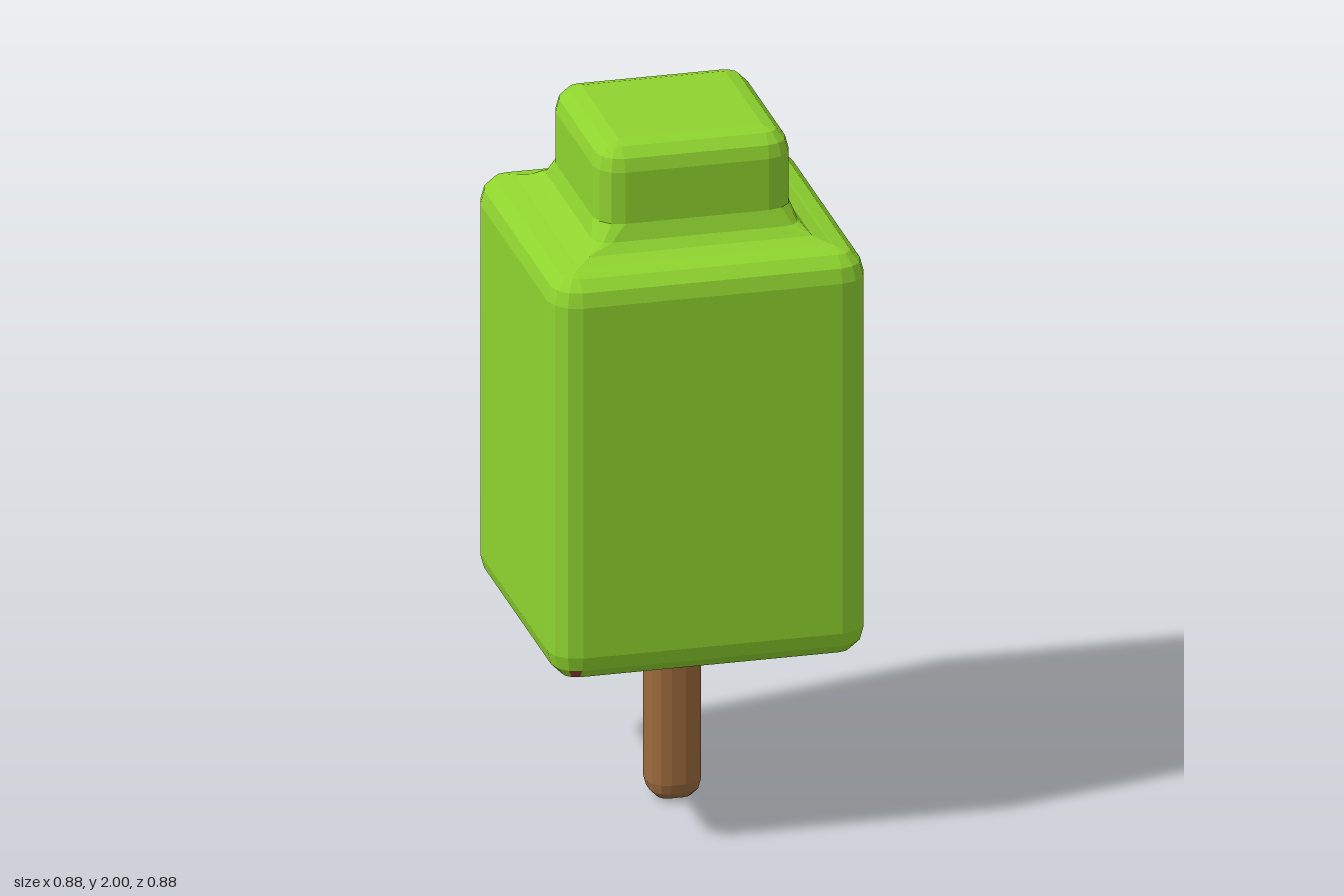
import * as THREE from 'three';

const GREEN = 0x8fd42f, BROWN = 0x9c6b3e, RED = 0x9c4040;
const STEPS = 3; // facets per rounded corner

// Rounded-square outline: corner centres at +-c, corner radius r
function ring([y, c, r]) {
  const pts = [];
  for (let j = 0; j < 4; j++) {
    const mid = Math.PI / 4 + j * Math.PI / 2;
    for (let k = 0; k <= STEPS; k++) {
      const a = (j + k / STEPS) * Math.PI / 2;
      pts.push(new THREE.Vector3(
        Math.sign(Math.cos(mid)) * c + r * Math.cos(a), y,
        -Math.sign(Math.sin(mid)) * c - r * Math.sin(a)));
    }
  }
  return pts;
}

// Loft through the rings; keep(band, segment) selects facets.
// Band -1 is the bottom cap, the last band is the top cap.
function loft(name, color, profile, keep = () => true) {
  const rings = profile.map(ring), n = rings[0].length, pos = [];
  const tri = (a, b, c) => {
    const area = b.clone().sub(a).cross(c.clone().sub(a)).length();
    if (area > 1e-9) for (const p of [a, b, c]) pos.push(p.x, p.y, p.z);
  };
  const last = rings.length - 1;
  const low = new THREE.Vector3(0, profile[0][0], 0);
  const high = new THREE.Vector3(0, profile[last][0], 0);
  for (let s = 0; s < n; s++) {
    const t = (s + 1) % n;
    if (keep(-1, s)) tri(low, rings[0][t], rings[0][s]);
    if (keep(last, s)) tri(high, rings[last][s], rings[last][t]);
    for (let b = 0; b < last; b++) {
      if (!keep(b, s)) continue;
      const lo = rings[b], hi = rings[b + 1];
      tri(lo[s], lo[t], hi[t]);
      tri(lo[s], hi[t], hi[s]);
    }
  }
  const geo = new THREE.BufferGeometry();
  geo.setAttribute('position', new THREE.Float32BufferAttribute(pos, 3));
  geo.computeVertexNormals();
  const mesh = new THREE.Mesh(geo, new THREE.MeshStandardMaterial({ color, flatShading: true }));
  mesh.name = name;
  return mesh;
}

// Quarter-round profile at one end of a rounded block; dir -1 = bottom, 1 = top
function roundEnd(yEnd, c, r, dir) {
  const out = [];
  for (let k = 0; k <= STEPS; k++) {
    const a = k / STEPS * Math.PI / 2;
    out.push([yEnd - dir * r * (1 - Math.cos(a)), c, r * Math.sin(a)]);
  }
  return dir < 0 ? out : out.reverse();
}

export function createModel() {
  const group = new THREE.Group();
  group.name = 'icePop';

  // Rounded block, curved shoulder and narrower neck in one outline
  const profile = [
    ...roundEnd(0.52, 0.36, 0.08, -1),
    ...roundEnd(1.695, 0.36, 0.08, 1),
    [1.697, 0.35, 0],
    [1.71, 0.31, 0],
    [1.735, 0.24, 0.047],
    [1.78, 0.2, 0.072],
    ...roundEnd(2, 0.2, 0.072, 1),
  ];
  const isBase = (b) => b <= 0;
  const isFleck = (b, s) => b === 1 && s % (STEPS + 1) === STEPS - 1;

  group.add(
    loft('iceBody', GREEN, profile, (b, s) => !isBase(b) && !isFleck(b, s)),
    loft('iceBase', BROWN, profile, isBase),
    loft('cornerFlecks', RED, profile, isFleck),
    // Stick touching the underside of the block
    loft('stick', BROWN, [
      ...roundEnd(0, 0.02, 0.055, -1),
      ...roundEnd(0.515, 0.02, 0.055, 1),
    ]),
  );
  return group;
}
